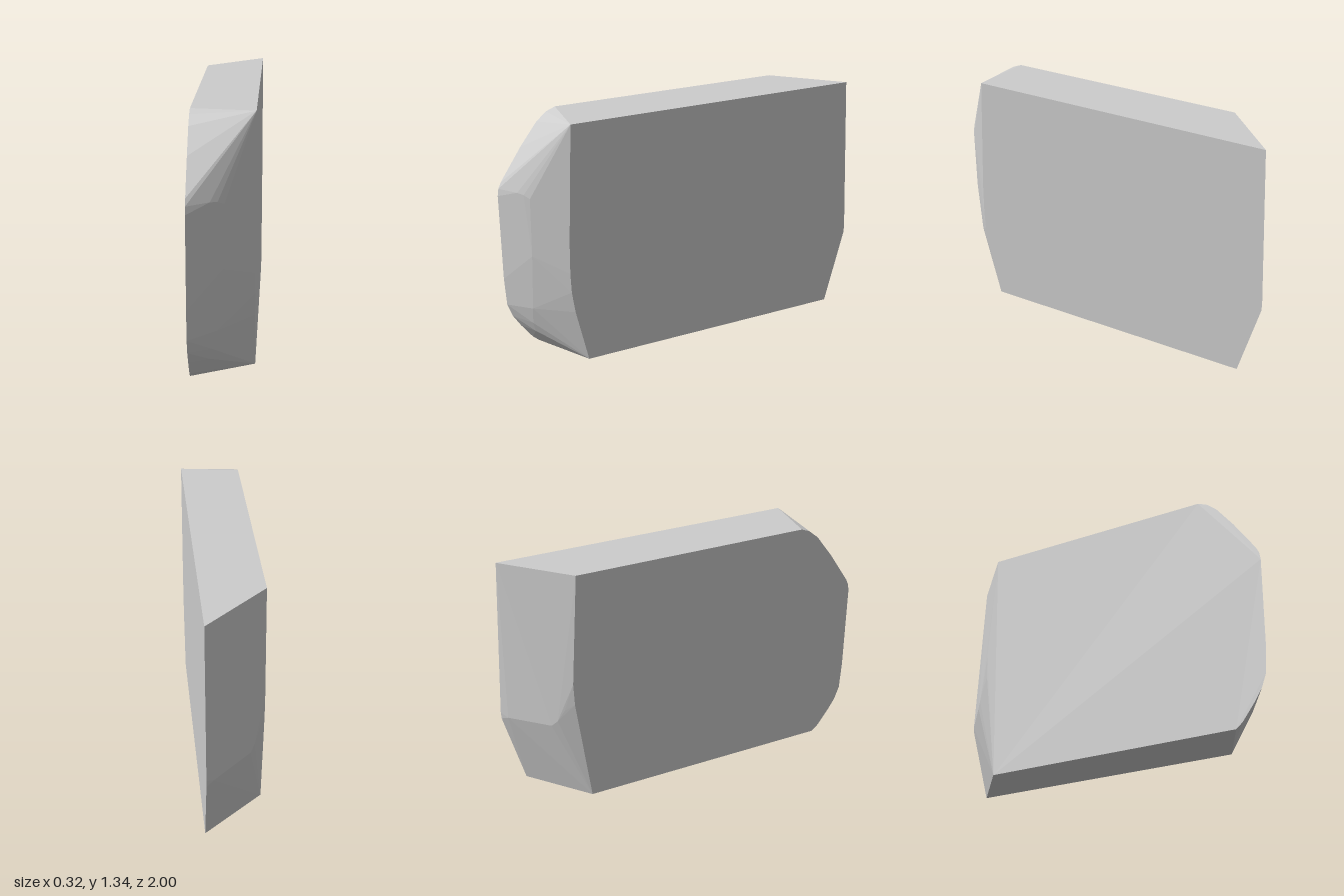
import * as THREE from 'three';
import { ConvexGeometry } from 'three/addons/geometries/ConvexGeometry.js';

const HALF = 0.162; // half thickness of the slab
const TOP = 1.34;

// Places a [y, z] outline on the plane at x.
const outline = (x, points) => points.map(([y, z]) => new THREE.Vector3(x, y, z));

export function createModel() {
  const model = new THREE.Group();
  model.name = 'bevelledSlab';
  const grey = new THREE.MeshStandardMaterial({ color: 0xcccccc });
  grey.name = 'light grey';

  // Long rounded nose on the -x face
  const roundedSide = outline(-HALF, [
    [TOP, 0.66], [1.32, 0.71], [1.274, 0.765], [1.15, 0.86], [0.975, 0.977], [0.94, 0.993], [0.9, 0.999],
    [0.42, 0.996], [0.263, 0.987], [0.188, 0.96], [0.12, 0.917], [0.03, 0.85], [0, 0.815],
    [0, -0.615], [0.6, -0.69], [0.726, -0.694], [TOP, -0.65],
  ]);

  // Shorter front and pointed back on the +x face
  const flatSide = outline(HALF, [
    [TOP, 0.705], [0.7, 0.736], [0.53, 0.739], [0.42, 0.735], [0.3, 0.718], [0, 0.65],
    [0, -0.885], [0.42, -0.998], [0.46, -1], [TOP, -0.955],
  ]);

  // Soft ridge running down the front bevel
  const frontRidge = [
    [-0.05, 0.945, 0.93], [-0.015, 0.94, 0.908], [0.016, 0.925, 0.886], [0.01, 0.6, 0.889],
    [-0.02, 0.28, 0.89], [-0.045, 0.18, 0.885], [-0.06, 0.12, 0.868],
  ];

  // Knuckle where the two back bevels meet
  const backRidge = [
    [-0.13, 0.56, -0.737], [-0.105, 0.49, -0.771], [-0.08, 0.455, -0.798], [0.122, 0.44, -0.973],
  ];

  const ridges = [...frontRidge, ...backRidge].map((p) => new THREE.Vector3(...p));
  const slab = new THREE.Mesh(new ConvexGeometry([...roundedSide, ...flatSide, ...ridges]), grey);
  slab.name = 'slab';
  model.add(slab);
  return model;
}
